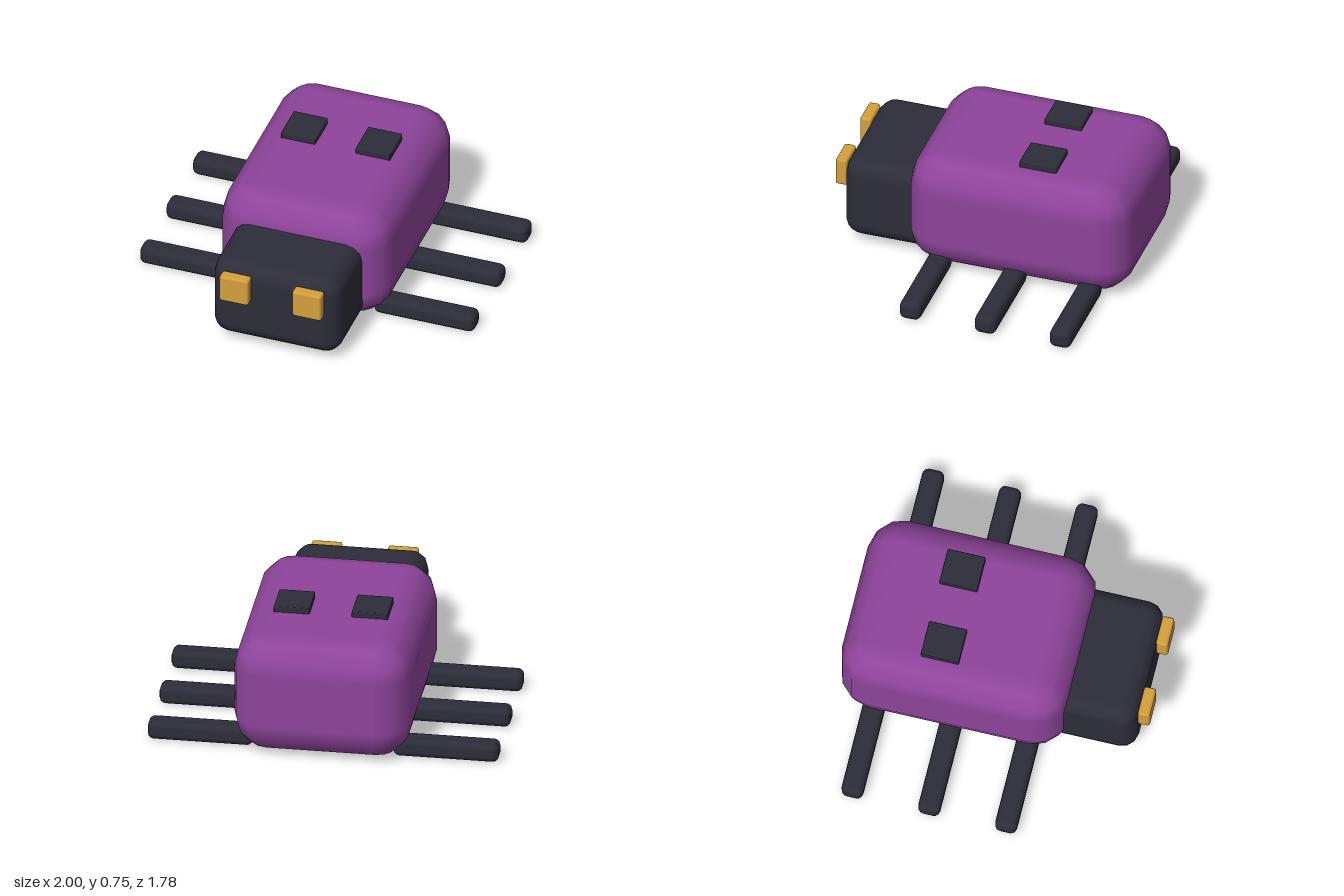
import * as THREE from 'three';

// Box with bevelled, smoothly shaded edges: r = bevel radius, n = steps per bevel.
// A grid is wrapped into a sphere whose eight octants are pulled out to the corners.
function bevelBox(w, h, d, r, n) {
  const cols = 4 * (n + 1), rows = 2 * (n + 1) + 1;
  const geo = new THREE.PlaneGeometry(1, 1, cols, rows);
  const pos = geo.attributes.position, nor = geo.attributes.normal;
  const hx = w / 2 - r, hy = h / 2 - r, hz = d / 2 - r;
  for (let j = 0; j <= rows; j++) {
    const cap = j === 0 || j === rows; // collapsed row closing the top or bottom
    const top = j <= n + 1;
    const k = top ? j - 1 : j - n - 2;
    let theta = (k / n) * Math.PI / 2 + (top ? 0 : Math.PI / 2);
    if (cap) theta = top ? 0 : Math.PI;
    for (let i = 0; i <= cols; i++) {
      const c = i % cols, q = Math.floor(c / (n + 1));
      const phi = (q + (c % (n + 1)) / n) * Math.PI / 2;
      const sx = q < 2 ? 1 : -1, sz = q === 0 || q === 3 ? 1 : -1, sy = top ? 1 : -1;
      const nx = Math.sin(theta) * Math.sin(phi);
      const ny = Math.cos(theta);
      const nz = Math.sin(theta) * Math.cos(phi);
      const id = j * (cols + 1) + i;
      nor.setXYZ(id, nx, ny, nz);
      pos.setXYZ(id, cap ? 0 : sx * hx + r * nx, sy * hy + r * ny, cap ? 0 : sz * hz + r * nz);
    }
  }
  return geo;
}

export function createModel() {
  const model = new THREE.Group();
  model.name = 'beetle';

  const material = (name, color) => {
    const m = new THREE.MeshStandardMaterial({ color });
    m.name = name;
    return m;
  };
  const purple = material('purple shell', 0x8e449b);
  const dark = material('dark charcoal', 0x2d2d3a);
  const gold = material('gold', 0xd4a03c);

  // Adds a bevelled box spanning the given x, y and z ranges
  const add = (name, mat, [x0, x1], [y0, y1], [z0, z1], r, n) => {
    const mesh = new THREE.Mesh(bevelBox(x1 - x0, y1 - y0, z1 - z0, r, n), mat);
    mesh.position.set((x0 + x1) / 2, (y0 + y1) / 2, (z0 + z1) / 2);
    mesh.name = name;
    model.add(mesh);
  };

  // Shell and head
  add('body', purple, [-0.505, 0.505], [0.01, 0.71], [-0.89, 0.43], 0.195, 3);
  add('head', dark, [-0.38, 0.38], [0.045, 0.55], [0.25, 0.825], 0.095, 3);

  // Paired parts on both sides
  for (const [side, s] of [['left', 1], ['right', -1]]) {
    const span = (a, b) => (s > 0 ? [a, b] : [-b, -a]);
    add(side + 'Eye', gold, span(0.13, 0.305), [0.34, 0.51], [0.82, 0.89], 0.015, 2);
    add(side + 'BackSpot', dark, span(0.12, 0.325), [0.695, 0.745], [-0.43, -0.21], 0.006, 2);
    ['Front', 'Middle', 'Rear'].forEach((place, i) => {
      const z = 0.22 - i * 0.445;
      add(side + place + 'Leg', dark, span(0.4, 1), [0, 0.11], [z - 0.063, z + 0.063], 0.035, 3);
    });
  }
  return model;
}
